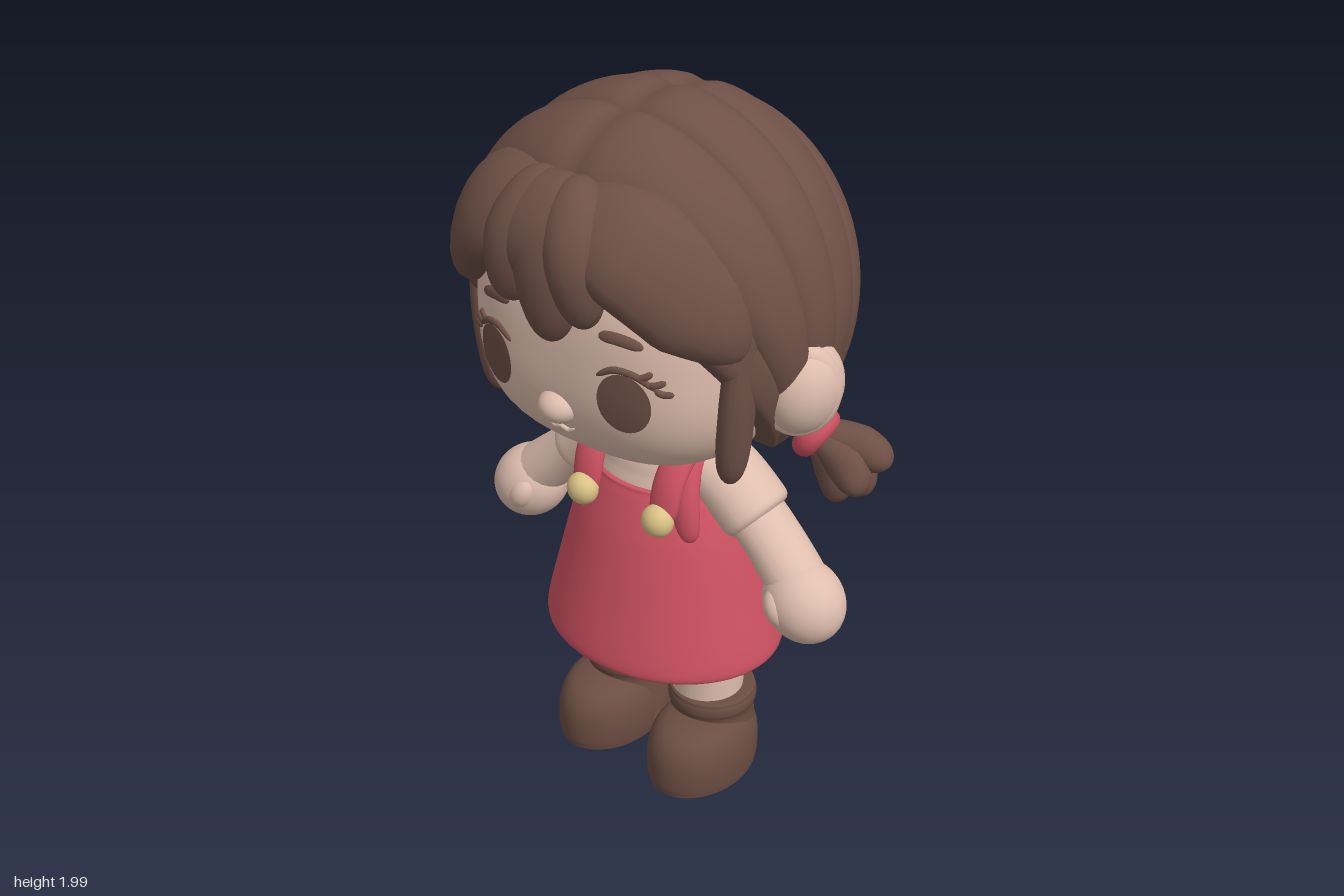
import * as THREE from 'three';
import { mergeVertices } from 'three/addons/utils/BufferGeometryUtils.js';

const material = (name, color) => {
  const m = new THREE.MeshStandardMaterial({ color });
  m.name = name;
  return m;
};
const V = (a) => new THREE.Vector3(...a);

// Face shape: a rounded-box ellipsoid
const HEAD = { y: 1.43, r: [0.415, 0.355, 0.4], n: 2.8 };
const faceZ = (x, y) => HEAD.r[2] * Math.pow(Math.max(0,
  1 - Math.abs(x / HEAD.r[0]) ** HEAD.n - Math.abs((y - HEAD.y) / HEAD.r[1]) ** HEAD.n), 1 / HEAD.n);

// Smooth surface from a grid of points
function gridGeometry(rows) {
  const n = rows[0].length, pos = [], index = [];
  rows.forEach((row, i) => row.forEach((p, j) => {
    pos.push(p.x, p.y, p.z);
    if (i < rows.length - 1 && j < n - 1) {
      const a = i * n + j, b = a + n;
      index.push(a, b, a + 1, b, b + 1, a + 1);
    }
  }));
  let g = new THREE.BufferGeometry();
  g.setAttribute('position', new THREE.Float32BufferAttribute(pos, 3));
  g.setIndex(index);
  g = mergeVertices(g, 1e-5);
  g.computeVertexNormals();
  return g;
}

// Rounded strand swept along a path: half widths, half thickness, outward from a centre
function strand(points, widths, thick, center, power = 4, steps = 24) {
  const curve = new THREE.CatmullRomCurve3(points.map(V)), c = V(center), rows = [];
  for (let i = 0; i <= steps; i++) {
    const u = 0.5 - 0.5 * Math.cos(Math.PI * i / steps);
    const p = curve.getPoint(u), T = curve.getTangent(u);
    const N = p.clone().sub(c);
    N.addScaledVector(T, -N.dot(T)).normalize();
    const B = T.clone().cross(N);
    const end = Math.sqrt(Math.max(0, 1 - Math.abs(2 * u - 1) ** power));
    const f = u * (widths.length - 1), k = Math.min(Math.floor(f), widths.length - 2);
    const w = THREE.MathUtils.lerp(widths[k], widths[k + 1], f - k) * end;
    rows.push(Array.from({ length: 21 }, (_, j) => {
      const a = (j % 20) / 20 * Math.PI * 2;
      return p.clone().addScaledVector(B, w * Math.cos(a)).addScaledVector(N, thick * end * Math.sin(a));
    }));
  }
  return gridGeometry(rows);
}

// Band of hair arching from ear to ear; each edge is [angle, z of its root beside the ear]
function hairBand([a0, z0], [a1, z1], depth, size, power) {
  const C = V([0, 1.48, 0]), R = V([0.505, 0.52, 0.505]), rows = [], steps = 28;
  for (let i = -1; i <= steps + 1; i++) {
    const w = -Math.cos(Math.PI * THREE.MathUtils.clamp(i / steps, 0, 1)), t = (w + 1) / 2;
    const a = THREE.MathUtils.degToRad(THREE.MathUtils.lerp(a0, a1, t));
    const O = V([0, 1.16, THREE.MathUtils.lerp(z0, z1, t)]), q = O.clone().sub(C).divide(R);
    const inner = i < 0 || i > steps;
    const bump = Math.sqrt(Math.max(0, 1 - Math.abs(w) ** power));
    rows.push(Array.from({ length: 97 }, (_, j) => {
      const s = (j / 96 - 0.5) * Math.PI;
      const d = V([Math.sin(s), Math.cos(s) * Math.cos(a), Math.cos(s) * Math.sin(a)]);
      const e = d.clone().divide(R), qe = q.dot(e), ee = e.lengthSq();
      let k = (-qe + Math.sqrt(qe * qe - ee * (q.lengthSq() - 1))) / ee;
      k *= 1 + (size - 1) * Math.cos(s);
      k *= 1 - depth * (1 - bump) * Math.min(1, 8 * Math.cos(s));
      k *= 1 - 0.022 * Math.exp(-((d.x * k / 0.035) ** 2));
      return O.clone().addScaledVector(d, inner ? k * 0.3 : k);
    }));
  }
  return gridGeometry(rows);
}

const lathe = (pts, sides = 48) =>
  new THREE.LatheGeometry(new THREE.SplineCurve(pts.map((p) => new THREE.Vector2(...p))).getPoints(60), sides);

export function createModel() {
  const model = new THREE.Group();
  const hair = material('brown hair', 0x6e5046), boot = material('brown boots', 0x6b4d42);
  const skin = material('skin', 0xdfbeae), red = material('red cloth', 0xcd5161);
  const gold = material('button yellow', 0xd9c285);
  red.side = THREE.DoubleSide;

  const add = (name, geo, mat, pos = [0, 0, 0], scale = [1, 1, 1], parent = model) => {
    const m = new THREE.Mesh(geo, mat);
    m.name = name;
    m.position.set(...pos);
    m.scale.set(...scale);
    parent.add(m);
    return m;
  };
  const sphere = new THREE.SphereGeometry(1, 32, 24);

  // Head
  let headGeo = new THREE.SphereGeometry(1, 64, 48);
  headGeo.deleteAttribute('uv');
  headGeo.deleteAttribute('normal');
  headGeo = mergeVertices(headGeo, 1e-5);
  const hp = headGeo.attributes.position;
  for (let i = 0; i < hp.count; i++) {
    const d = new THREE.Vector3().fromBufferAttribute(hp, i);
    const r = (Math.abs(d.x) ** HEAD.n + Math.abs(d.y) ** HEAD.n + Math.abs(d.z) ** HEAD.n) ** (-1 / HEAD.n);
    hp.setXYZ(i, d.x * r * HEAD.r[0], d.y * r * HEAD.r[1], d.z * r * HEAD.r[2]);
  }
  headGeo.computeVertexNormals();
  add('head', headGeo, skin, [0, HEAD.y, 0]);
  add('nose', sphere, skin, [0, 1.29, 0.375], [0.055, 0.045, 0.055]);

  // Thin stroke lying on the face
  const stroke = (pts, w) => strand(pts.map(([x, y]) => [x, y, faceZ(x, y) + 0.002]), [w, w], 0.007, [0, 1.43, 0], 4, 14);
  add('mouth', stroke([[-0.042, 1.235], [-0.02, 1.222], [0, 1.23], [0.02, 1.222], [0.042, 1.235]], 0.006), skin);

  // Hair bands from front to back, then the back cap
  [[[20, 0.03], [37, 0.04], 0.05, 0.95, 4], [[7, 0], [25, 0.03], 0.07, 1.02, 2.5],
    [[-2.5, -0.065], [8, 0.005], 0.05, 1, 2.5], [[-11, -0.125], [-0.5, -0.055], 0.05, 1, 2.5],
    [[-18, -0.21], [-9, -0.115], 0.055, 1, 2.5], [[-98, -0.2], [-15, -0.195], 0.1, 1, 4]]
    .forEach((b) => add('hairBand', hairBand(...b), hair));

  // Centre fringe
  [[-0.09, 1.565, 0.42, 0.075], [0.03, 1.495, 0.425, 0.09], [0.12, 1.55, 0.405, 0.075], [0.01, 1.62, 0.4, 0.14]]
    .forEach(([x, y, z, w]) => add('centreFringe', strand([[x * 0.4, 1.88, 0.33], [x * 0.85, 1.74, 0.43], [x, y, z]],
      [w * 0.9, w, w * 0.75], 0.064, [0, 1.4, 0]), hair));

  // Dress, shirt body and back waist seam
  add('dress', lathe([[0, 0.51], [0.29, 0.49], [0.322, 0.435], [0.338, 0.426], [0.351, 0.44], [0.344, 0.49], [0.31, 0.62],
    [0.281, 0.73], [0.258, 0.81], [0.232, 0.875], [0.205, 0.93], [0.18, 0.945], [0, 0.945]], 64),
  red, [0, 0, -0.03], [1, 1, 0.83]);
  add('pelvis', sphere, red, [0, 0.525, -0.045], [0.16, 0.085, 0.12]);
  add('shirt', lathe([[0, 0.88], [0.19, 0.9], [0.19, 0.98], [0.165, 1.045], [0.125, 1.08], [0.1, 1.14]]),
    skin, [0, 0, -0.04], [1, 1, 0.82]);
  const seam = Array.from({ length: 13 }, (_, i) => {
    const a = Math.PI * (0.1 + 0.8 * i / 12);
    return [0.262 * Math.cos(a), 0.745, -0.03 - 0.222 * Math.sin(a)];
  });
  add('waistSeam', strand(seam, [0.03, 0.03], 0.018, [0, 0.745, -0.03], 10, 40), red);

  // Paired parts, built on +x and mirrored
  for (const side of [1, -1]) {
    const half = new THREE.Group();
    half.name = side > 0 ? 'leftSide' : 'rightSide';
    half.scale.x = side;
    model.add(half);
    const put = (name, geo, mat, pos, scale) => add(name, geo, mat, pos, scale, half);

    // Eye, lashes and brow
    const eye = new THREE.RingGeometry(0.001, 1, 36, 6);
    const ep = eye.attributes.position;
    for (let i = 0; i < ep.count; i++) {
      const x = 0.203 + ep.getX(i) * 0.066, y = 1.363 + ep.getY(i) * 0.08;
      ep.setXYZ(i, x, y, faceZ(x, y) + 0.006);
    }
    eye.computeVertexNormals();
    put('eye', eye, hair);
    put('lashLine', stroke([[0.135, 1.425], [0.18, 1.45], [0.23, 1.445], [0.28, 1.41]], 0.009), hair);
    [[0.24, 1.44, 0.27, 1.457], [0.262, 1.425, 0.297, 1.435], [0.275, 1.41, 0.312, 1.402]].forEach(([a, b, c, d]) =>
      put('lash', stroke([[a, b], [(a + c) / 2, (b + d) / 2 - 0.004], [c, d]], 0.009), hair));
    put('brow', stroke([[0.14, 1.53], [0.19, 1.53], [0.25, 1.517]], 0.015), hair);

    // Ear with a raised rim
    const ear = put('ear', sphere, skin, [0.46, 1.345, 0.015], [0.095, 0.125, 0.11]);
    ear.rotation.z = -0.15;
    const rim = put('earRim', new THREE.TorusGeometry(0.083, 0.032, 12, 32), skin, [0.472, 1.352, 0.045], [0.9, 1.08, 1]);
    rim.rotation.y = 0.75;

    // Swept fringe and lock in front of the ear
    put('sideFringe', strand([[0.01, 1.82, 0.33], [0.2, 1.755, 0.35], [0.335, 1.62, 0.27], [0.41, 1.475, 0.195]],
      [0.1, 0.145, 0.14, 0.075], 0.075, [0, 1.45, 0]), hair);
    put('sideLock', strand([[0.415, 1.62, 0.17], [0.4, 1.36, 0.195], [0.377, 1.125, 0.19]],
      [0.06, 0.055, 0.043], 0.04, [0, 1.35, 0.19], 6), hair);

    // Pigtail
    const tie = put('hairTie', new THREE.TorusGeometry(0.04, 0.033, 14, 28), red, [0.452, 1.178, -0.065]);
    tie.quaternion.setFromUnitVectors(V([0, 0, 1]), V([0.8, -0.55, -0.15]).normalize());
    [[0.63, 1.115, -0.14], [0.595, 1.05, -0.06], [0.575, 1.015, -0.13], [0.51, 0.985, -0.095]].forEach(([x, y, z]) =>
      put('pigtail', strand([[0.44, 1.19, -0.07], [0.25 + x * 0.48, 0.62 + y * 0.475, z * 0.5 - 0.045], [x, y, z]],
        [0.03, 0.058, 0.04], 0.05, [0.5, 1.1, -3], 3.5), hair));

    // Sleeve, arm and hand
    put('sleeve', strand([[0.1, 1.01, -0.045], [0.2, 0.965, -0.045], [0.315, 0.87, -0.045]],
      [0.08, 0.09, 0.092], 0.105, [0.2, 0.9, -9], 18), skin);
    put('arm', strand([[0.2, 0.96, -0.045], [0.34, 0.845, -0.04], [0.49, 0.71, -0.015]],
      [0.075, 0.072, 0.08], 0.085, [0.3, 0.8, -9], 12), skin);
    const hand = put('hand', sphere, skin, [0.475, 0.705, -0.015], [0.118, 0.105, 0.105]);
    hand.rotation.z = -0.75;
    const thumb = put('thumb', sphere, skin, [0.445, 0.705, 0.05], [0.04, 0.058, 0.046]);
    thumb.rotation.z = 0.5;

    // Straps, armhole edges and buttons
    put('strap', strand([[0.128, 0.88, 0.145], [0.132, 1.0, 0.112], [0.134, 1.065, 0.045], [0.134, 1.075, -0.05],
      [0.13, 1.035, -0.145], [0.125, 0.88, -0.205]], [0.046, 0.044, 0.046], 0.024, [0.13, 0.93, -0.03], 16, 32), red);
    put('armholeEdge', strand([[0.185, 0.82, 0.1], [0.162, 0.95, 0.085], [0.148, 1.03, 0.04], [0.146, 1.045, -0.05],
      [0.15, 1.005, -0.125], [0.162, 0.94, -0.155], [0.185, 0.82, -0.165]], [0.04, 0.033, 0.04], 0.028, [0.15, 0.9, -0.035], 14, 32), red);
    put('frontButton', sphere, gold, [0.127, 0.895, 0.158], [0.045, 0.045, 0.04]);
    put('backButton', sphere, gold, [0.12, 0.9, -0.222], [0.043, 0.043, 0.04]);

    // Leg and boot
    put('leg', new THREE.CylinderGeometry(0.108, 0.1, 0.34, 32), skin, [0.143, 0.4, -0.047]);
    put('bootShaft', lathe([[0, 0.01], [0.12, 0.015], [0.128, 0.08], [0.118, 0.19], [0.125, 0.225], [0.122, 0.25],
      [0.106, 0.264], [0, 0.264]]), boot, [0.153, 0, -0.057]);
    put('bootFoot', lathe([[0, 0.005], [0.115, 0.005], [0.134, 0.022], [0.137, 0.09], [0.128, 0.145], [0.104, 0.183],
      [0.06, 0.202], [0, 0.207]]), boot, [0.165, 0, 0], [1, 1, 1.37]);
  }
  return model;
}
